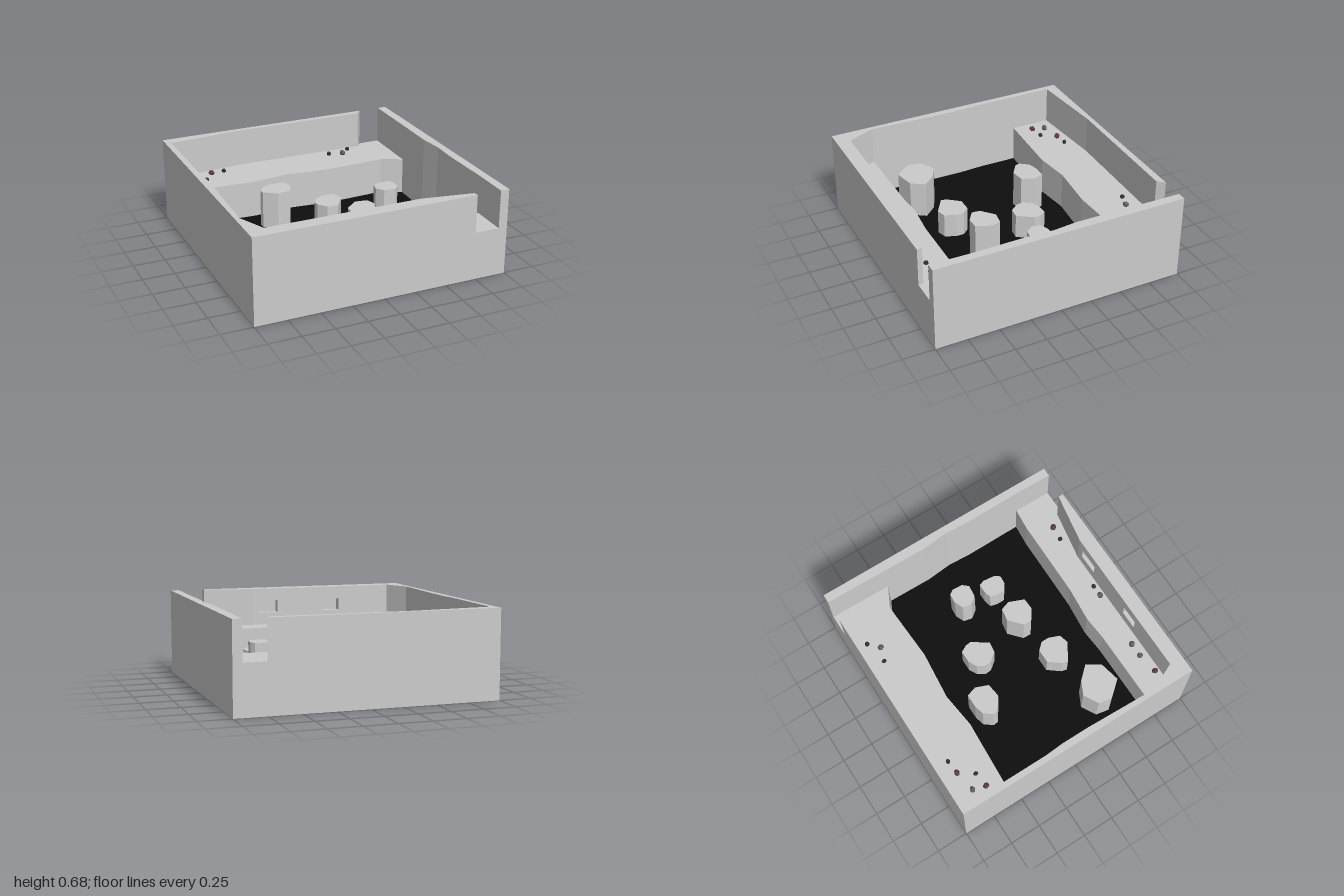
import * as THREE from 'three';

const FLOOR = 0.08, LEDGE = 0.38, TOP = 0.68;
const paint = (color) => new THREE.MeshStandardMaterial({ color, flatShading: true });
const stone = paint(0xcccccc), black = paint(0x0e0e0e);

// Plan outlines are lists of [x, z]; a shape is laid flat and raised along y.
const plan = (points) => points.map(([x, z]) => new THREE.Vector2(x, -z));

function slab(name, points, y0, y1, hole) {
  const shape = new THREE.Shape(plan(points));
  if (hole) shape.holes.push(new THREE.Path(plan(hole)));
  const geometry = new THREE.ExtrudeGeometry(shape, { depth: y1 - y0, bevelEnabled: false });
  geometry.rotateX(-Math.PI / 2).translate(0, y0, 0);
  const mesh = new THREE.Mesh(geometry, stone);
  mesh.name = name;
  return mesh;
}

function rock(name, x, z, r, color, turn) {
  const mesh = new THREE.Mesh(new THREE.DodecahedronGeometry(r), paint(color));
  mesh.position.set(x, LEDGE + r * 0.6, z);
  mesh.rotation.set(turn, turn * 1.7, turn * 0.6);
  mesh.scale.set(1, 0.95, 0.9);
  mesh.name = name;
  return mesh;
}

export function createModel() {
  const model = new THREE.Group();
  model.name = 'pitRoom';
  const square = [[-1, -1], [1, -1], [1, 1], [-1, 1]];

  // Edges of the sunken pit, shared with the side walls
  const leftEdge = [[-0.955, -0.595], [-0.955, -0.27], [-0.945, -0.12], [-0.945, 0.1], [-0.965, 0.675]];
  const frontEdge = [[-0.34, 0.67], [-0.15, 0.655], [0.12, 0.68], [0.76, 0.685]];
  const rightEdge = [[0.935, 0.7], [0.93, 0.25], [0.94, 0.05], [0.92, -0.15], [0.925, -0.51]];
  const backEdge = [[0.76, -0.59], [0.28, -0.565], [-0.1, -0.6], [-0.38, -0.565]];
  const pit = [...leftEdge, ...frontEdge, ...rightEdge, ...backEdge];

  // Base, ledges around the pit and dark pit floor
  model.add(slab('base', square, 0, FLOOR));
  model.add(slab('ledges', square, FLOOR, LEDGE, pit));
  const pitFloor = new THREE.Mesh(new THREE.ShapeGeometry(new THREE.Shape(plan(pit))), black);
  pitFloor.rotation.x = -Math.PI / 2;
  pitFloor.position.y = FLOOR + 0.002;
  pitFloor.name = 'pitFloor';
  model.add(pitFloor);

  // Back, left and front walls in three courses; the middle one holds two niches
  const niches = [[-0.43, -0.285], [0.115, 0.28]]
    .flatMap(([a, b]) => [[a, 0.89], [a, 0.95], [b, 0.95], [b, 0.89]]);
  const walls = (cuts) => [
    [-1, 1], [-1, -1], [0.755, -1], [0.71, -0.945], [-0.35, -0.96], [-0.955, -0.91],
    ...leftEdge, [-0.87, 0.89], ...cuts, [0.33, 0.89], [0.73, 0.96], [0.735, 1],
  ];
  model.add(slab('lowerWalls', walls([]), LEDGE, 0.48));
  model.add(slab('nicheWalls', walls(niches), 0.48, 0.58));
  model.add(slab('upperWalls', walls([]), 0.58, TOP));

  // Right-hand wall, separated by a doorway at each end
  model.add(slab('sideWall', [[1, -1], [1, 1], [0.93, 1], ...rightEdge, [0.93, -1]], LEDGE, TOP));

  // Stepping pillars rising from the pit
  const pillar = (height, ...points) => model.add(slab('pillar', points, FLOOR, height));
  pillar(0.38, [-0.41, -0.375], [-0.36, -0.44], [-0.285, -0.46], [-0.18, -0.46],
    [-0.155, -0.38], [-0.195, -0.28], [-0.305, -0.265], [-0.405, -0.335]);
  pillar(0.28, [-0.02, -0.2], [0.015, -0.26], [0.08, -0.295], [0.175, -0.295],
    [0.205, -0.24], [0.21, -0.195], [0.125, -0.07], [0.04, -0.08], [-0.015, -0.15]);
  pillar(0.38, [0.44, -0.04], [0.455, -0.11], [0.525, -0.14], [0.6, -0.135],
    [0.625, -0.095], [0.62, -0.015], [0.58, 0.03], [0.485, 0.02]);
  pillar(0.28, [0.435, 0.2], [0.45, 0.14], [0.51, 0.125], [0.58, 0.125],
    [0.595, 0.17], [0.585, 0.26], [0.555, 0.305], [0.49, 0.3], [0.435, 0.26]);
  pillar(0.38, [0.075, 0.215], [0.175, 0.125], [0.275, 0.14], [0.3, 0.215],
    [0.25, 0.335], [0.16, 0.34], [0.07, 0.28]);
  pillar(0.28, [-0.325, 0.315], [-0.25, 0.22], [-0.14, 0.22], [-0.09, 0.275],
    [-0.09, 0.34], [-0.125, 0.425], [-0.2, 0.445], [-0.335, 0.36]);
  pillar(0.38, [-0.655, 0.28], [-0.545, 0.335], [-0.455, 0.435], [-0.525, 0.54],
    [-0.685, 0.575], [-0.79, 0.45], [-0.77, 0.345]);

  // Small rocks scattered on both ledges
  const kinds = [
    ['redRock', 0.026, 0x5c4040, [[-0.65, -0.85], [-0.85, -0.72], [-0.79, 0.85], [0.645, 0.865]]],
    ['greyRock', 0.026, 0x606060, [[-0.82, -0.82], [0.51, -0.82], [-0.625, 0.825], [-0.515, 0.825], [-0.045, 0.85]]],
    ['darkRock', 0.02, 0x303030, [[-0.54, -0.86], [-0.73, -0.735], [0.4, -0.855], [0.59, -0.895], [0.045, 0.85], [0.53, 0.855]]],
  ];
  for (const [name, r, color, spots] of kinds)
    spots.forEach(([x, z], i) => model.add(rock(name, x, z, r, color, i * 1.3)));

  return model;
}
